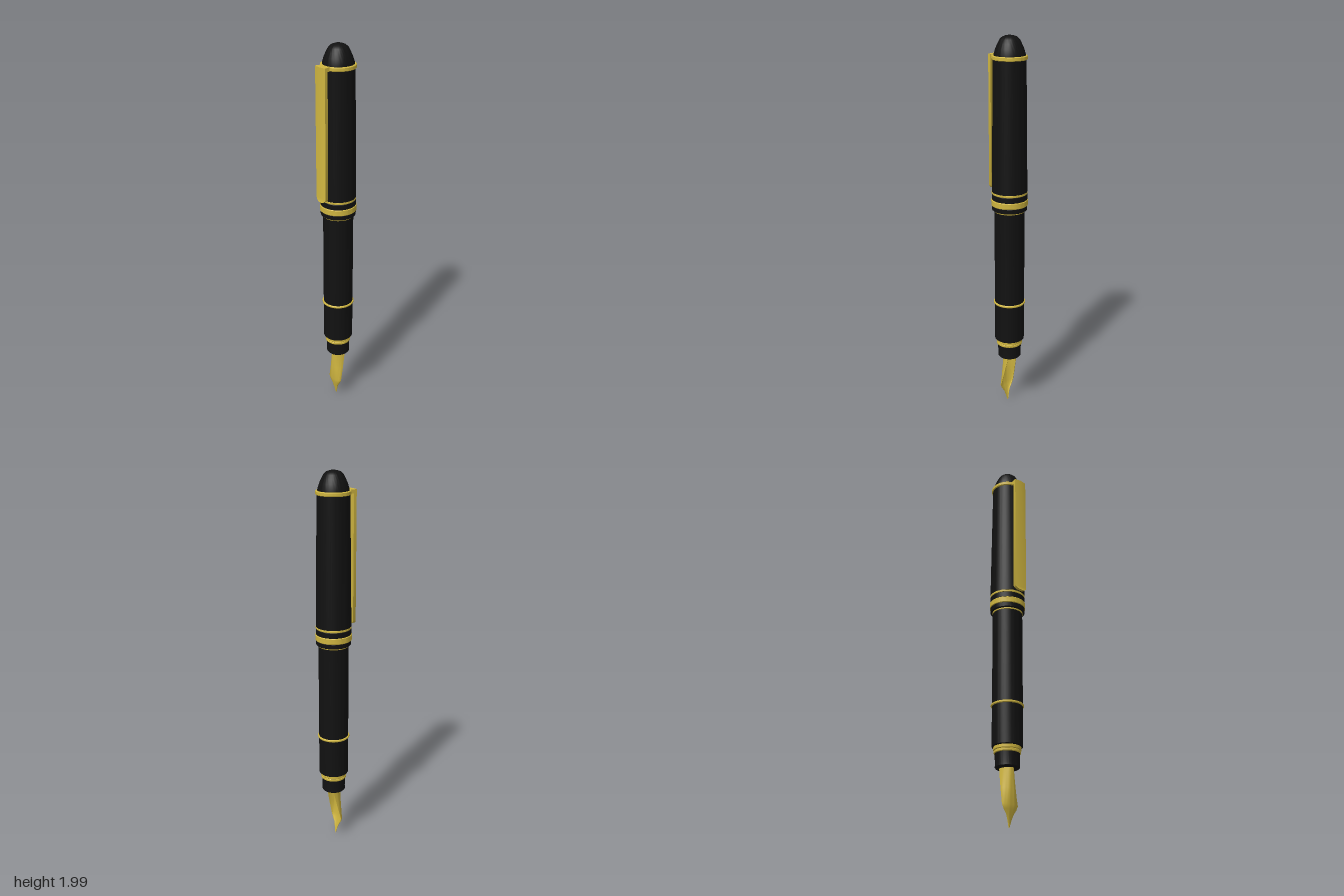
import * as THREE from 'three';
import { toCreasedNormals } from 'three/addons/utils/BufferGeometryUtils.js';

const black = new THREE.MeshStandardMaterial({ color: 0x111111 });
const gold = new THREE.MeshStandardMaterial({ color: 0xd0b640 });
const goldSheet = new THREE.MeshStandardMaterial({ color: 0xd0b640, side: THREE.DoubleSide });
const AXIS_Z = -0.013;

// Turned part from [radius, y] pairs, listed bottom to top
function turned(name, material, profile) {
  const points = profile.map(([r, y]) => new THREE.Vector2(r, y));
  const geo = toCreasedNormals(new THREE.LatheGeometry(points, 64), 0.45);
  const mesh = new THREE.Mesh(geo, material);
  mesh.name = name;
  mesh.position.z = AXIS_Z;
  return mesh;
}

// Closed ring or sleeve with small chamfers
function band(name, material, r0, r1, y0, y1, c = 0.003) {
  return turned(name, material, [
    [0, y0], [r0 - c, y0], [r0, y0 + c], [r1, y1 - c], [r1 - c, y1], [0, y1],
  ]);
}

// Curved nib sheet: each row is [y, half width, front z, edge z]
function nibGeometry() {
  const rows = [
    [0.32, 0.032, 0.024, -0.037], [0.28, 0.034, 0.025, -0.032], [0.2, 0.041, 0.026, -0.014],
    [0.12, 0.047, 0.025, 0.005], [0.1, 0.038, 0.021, 0.006], [0.075, 0.021, 0.015, 0.005],
    [0.05, 0.012, 0.009, 0.002], [0.015, 0.002, 0.002, -0.001],
  ];
  const n = 16, t = 0.0025, positions = [], index = [];
  const loop = 2 * (n + 1);
  for (const [y, w, front, edge] of rows) {
    // outer arc, then the inner arc back again
    for (let i = 0; i < loop; i++) {
      const inner = i > n;
      const a = ((inner ? loop - 1 - i : i) / n - 0.5) * Math.PI;
      const k = inner ? Math.min(t, w * 0.5) : 0;
      positions.push((w - k) * Math.sin(a), y, edge + (front - edge - k) * Math.cos(a));
    }
  }
  for (let r = 0; r < rows.length - 1; r++) {
    for (let i = 0; i < loop; i++) {
      const a = r * loop + i, b = r * loop + (i + 1) % loop;
      index.push(a, a + loop, b, b, a + loop, b + loop);
    }
  }
  const geo = new THREE.BufferGeometry();
  geo.setAttribute('position', new THREE.Float32BufferAttribute(positions, 3));
  geo.setIndex(index);
  return toCreasedNormals(geo, 0.6);
}

// Pocket clip: rounded-end strip, bowed gently across its width
function clipGeometry() {
  const w = 0.036, top = 1.905, bottom = 1.225;
  const outline = new THREE.Shape();
  outline.moveTo(0, top);
  outline.lineTo(-w, top);
  outline.lineTo(-w, bottom + 0.02);
  outline.quadraticCurveTo(-w * 0.8, bottom, 0, bottom);
  outline.quadraticCurveTo(w * 0.8, bottom, w, bottom + 0.02);
  outline.lineTo(w, top);
  outline.closePath();
  const geo = new THREE.ExtrudeGeometry(outline, { depth: 0.016, bevelEnabled: false, curveSegments: 8 });
  const p = geo.attributes.position;
  for (let i = 0; i < p.count; i++) {
    const u = p.getX(i) / w;
    p.setZ(i, p.getZ(i) + 0.088 - 0.006 * u * u);
  }
  return toCreasedNormals(geo, 0.5);
}

export function createModel() {
  const pen = new THREE.Group();
  pen.name = 'fountainPen';

  // Cap
  pen.add(
    turned('capCrown', black, [
      [0.078, 1.9], [0.077, 1.912], [0.068, 1.94], [0.058, 1.962], [0.048, 1.981],
      [0.036, 1.992], [0.02, 1.998], [0, 2],
    ]),
    band('crownRing', gold, 0.087, 0.087, 1.885, 1.905),
    band('capTube', black, 0.09, 0.081, 1.225, 1.888),
    band('upperCapBand', gold, 0.0905, 0.0905, 1.215, 1.23),
    band('capBandGap', black, 0.09, 0.09, 1.185, 1.217),
    band('wideCapBand', gold, 0.093, 0.093, 1.155, 1.187),
    band('capLip', black, 0.089, 0.09, 1.13, 1.157),
  );

  // Clip and the bridge joining it to the crown ring
  const clip = new THREE.Group();
  clip.name = 'clip';
  const strip = new THREE.Mesh(clipGeometry(), gold);
  strip.name = 'clipStrip';
  const bridge = new THREE.Mesh(new THREE.BoxGeometry(0.066, 0.02, 0.045), gold);
  bridge.name = 'clipBridge';
  bridge.position.set(0, 1.895, 0.07);
  clip.add(strip, bridge);
  pen.add(clip);

  // Barrel
  pen.add(
    band('barrelTopRing', gold, 0.079, 0.079, 1.122, 1.134, 0.002),
    band('barrel', black, 0.077, 0.077, 0.617, 1.125),
    band('barrelRing', gold, 0.083, 0.083, 0.612, 0.624),
    band('barrelEnd', black, 0.077, 0.077, 0.405, 0.617),
  );

  // Grip
  pen.add(
    band('gripUpperRing', gold, 0.069, 0.069, 0.387, 0.407),
    band('gripLowerRing', gold, 0.067, 0.067, 0.372, 0.387),
    turned('grip', black, [
      [0, 0.3], [0.057, 0.3], [0.061, 0.305], [0.06, 0.32], [0.062, 0.375], [0, 0.375],
    ]),
  );

  // Nib
  const nib = new THREE.Mesh(nibGeometry(), goldSheet);
  nib.name = 'nib';
  pen.add(nib);

  return pen;
}
